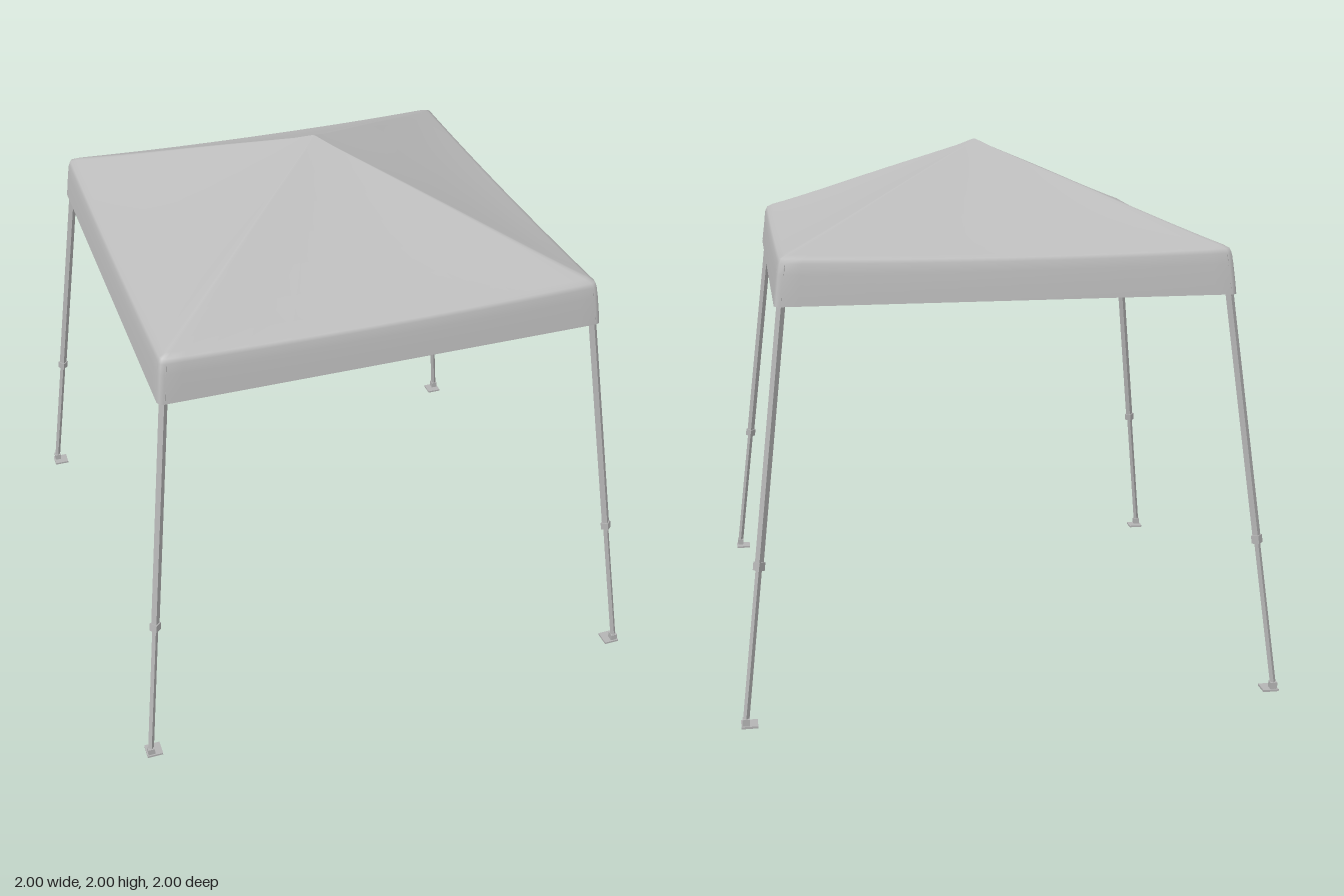
import * as THREE from 'three';

const fabric = new THREE.MeshStandardMaterial({ color: 0xbcbcbc, side: THREE.DoubleSide });
fabric.name = 'canopy grey';
const metal = new THREE.MeshStandardMaterial({ color: 0xb4b4b4 });
metal.name = 'frame grey';

const V = (x, y, z) => new THREE.Vector3(x, y, z);

// Square rings from the peak to the hem: [half width, height, sag at mid-side]
const RINGS = [
  [0.004, 2.0, 0], [0.06, 1.972, 0], [0.16, 1.93, 0.003], [0.28, 1.88, 0.008], [0.4, 1.829, 0.012],
  [0.52, 1.777, 0.016], [0.64, 1.726, 0.018], [0.74, 1.685, 0.018], [0.79, 1.666, 0.016],
  [0.81, 1.655, 0.014], [0.817, 1.638, 0.01], [0.823, 1.6, 0.005], [0.83, 1.54, 0], [0.835, 1.49, 0],
];

function canopyGeometry(seg = 14) {
  const pos = [], index = [], n = seg * 4;
  for (const [r, y, sag] of RINGS) {
    for (let i = 0; i < n; i++) {
      const side = Math.floor(i / seg);
      const t = Math.sin(((i % seg) / seg - 0.5) * Math.PI); // closer points at corners
      const bulge = 1 - t * t;
      const a = side * Math.PI / 2;
      const k = Math.abs(t) === 1 ? 0.993 : 1; // slightly blunted corners
      const px = t * r * k, pz = r * k;
      pos.push(px * Math.cos(a) + pz * Math.sin(a), y - sag * bulge, pz * Math.cos(a) - px * Math.sin(a));
    }
  }
  for (let j = 0; j < RINGS.length - 1; j++) {
    for (let i = 0; i < n; i++) {
      const a = j * n + i, b = j * n + (i + 1) % n, c = a + n, d = b + n;
      index.push(a, c, b, b, c, d);
    }
  }
  // Close the peak
  const top = pos.length / 3;
  pos.push(0, 2, 0);
  for (let i = 0; i < n; i++) index.push(top, i, (i + 1) % n);
  const g = new THREE.BufferGeometry();
  g.setAttribute('position', new THREE.Float32BufferAttribute(pos, 3));
  g.setIndex(index);
  g.computeVertexNormals();
  return g;
}

// Rectangular bar between two points
function bar(name, a, b, w, d = w) {
  const m = new THREE.Mesh(new THREE.BoxGeometry(w, d, a.distanceTo(b)), metal);
  m.name = name;
  m.position.copy(a).lerp(b, 0.5);
  m.lookAt(b);
  return m;
}

function box(name, w, h, d, x, y, z) {
  const m = new THREE.Mesh(new THREE.BoxGeometry(w, h, d), metal);
  m.name = name;
  m.position.set(x, y, z);
  return m;
}

// One corner leg with its foot, joints and roof ridge pole, for the +x +z corner
function corner() {
  const g = new THREE.Group();
  g.name = 'cornerLeg';
  const at = (y) => { const r = 0.985 - 0.117 * y; return V(r, y, r); };
  g.add(bar('lowerLeg', at(0.005), at(0.6), 0.016));
  g.add(bar('upperLeg', at(0.57), at(1.62), 0.022));
  g.add(bar('legLock', at(0.565), at(0.595), 0.03));
  g.add(bar('slider', at(1.5), at(1.535), 0.036));
  g.add(bar('topBracket', at(1.59), at(1.63), 0.036));

  // Foot: ground plate and a small socket
  g.add(box('footPlate', 0.06, 0.008, 0.06, 0.97, 0.004, 0.97));
  g.add(box('footSocket', 0.026, 0.03, 0.026, 0.982, 0.018, 0.982));

  // Ridge pole just under the fabric, and its brace
  const curve = new THREE.CatmullRomCurve3([
    V(0.79, 1.63, 0.79), V(0.62, 1.715, 0.62), V(0.4, 1.81, 0.4), V(0.2, 1.895, 0.2), V(0.01, 1.975, 0.01)]);
  const ridge = new THREE.Mesh(new THREE.TubeGeometry(curve, 16, 0.009, 6), metal);
  ridge.name = 'ridgePole';
  g.add(ridge, bar('ridgeBrace', at(1.52), V(0.64, 1.695, 0.64), 0.012));
  return g;
}

// Two scissor pairs along the front edge
function scissorTruss() {
  const g = new THREE.Group();
  g.name = 'scissorTruss';
  const z = 0.79, low = 1.515, high = 1.605;
  for (const s of [-1, 1]) {
    g.add(bar('scissorBar', V(s * 0.79, high, z + 0.006), V(0, low, z + 0.006), 0.01, 0.018));
    g.add(bar('scissorBar', V(s * 0.79, low, z - 0.006), V(0, high, z - 0.006), 0.01, 0.018));
    g.add(box('scissorPivot', 0.016, 0.016, 0.03, s * 0.395, (low + high) / 2, z));
  }
  g.add(box('middleHinge', 0.026, 0.024, 0.028, 0, low, z));
  g.add(box('middleHinge', 0.026, 0.024, 0.028, 0, high, z));
  return g;
}

export function createModel() {
  const model = new THREE.Group();
  model.name = 'canopyTent';

  const canopy = new THREE.Mesh(canopyGeometry(), fabric);
  canopy.name = 'canopy';
  model.add(canopy);

  for (let i = 0; i < 4; i++) {
    for (const part of [corner(), scissorTruss()]) {
      part.rotation.y = i * Math.PI / 2;
      model.add(part);
    }
  }

  // Hub under the peak
  const hub = new THREE.Mesh(new THREE.CylinderGeometry(0.02, 0.025, 0.03, 12), metal);
  hub.name = 'peakHub';
  hub.position.y = 1.965;
  model.add(hub);
  return model;
}
